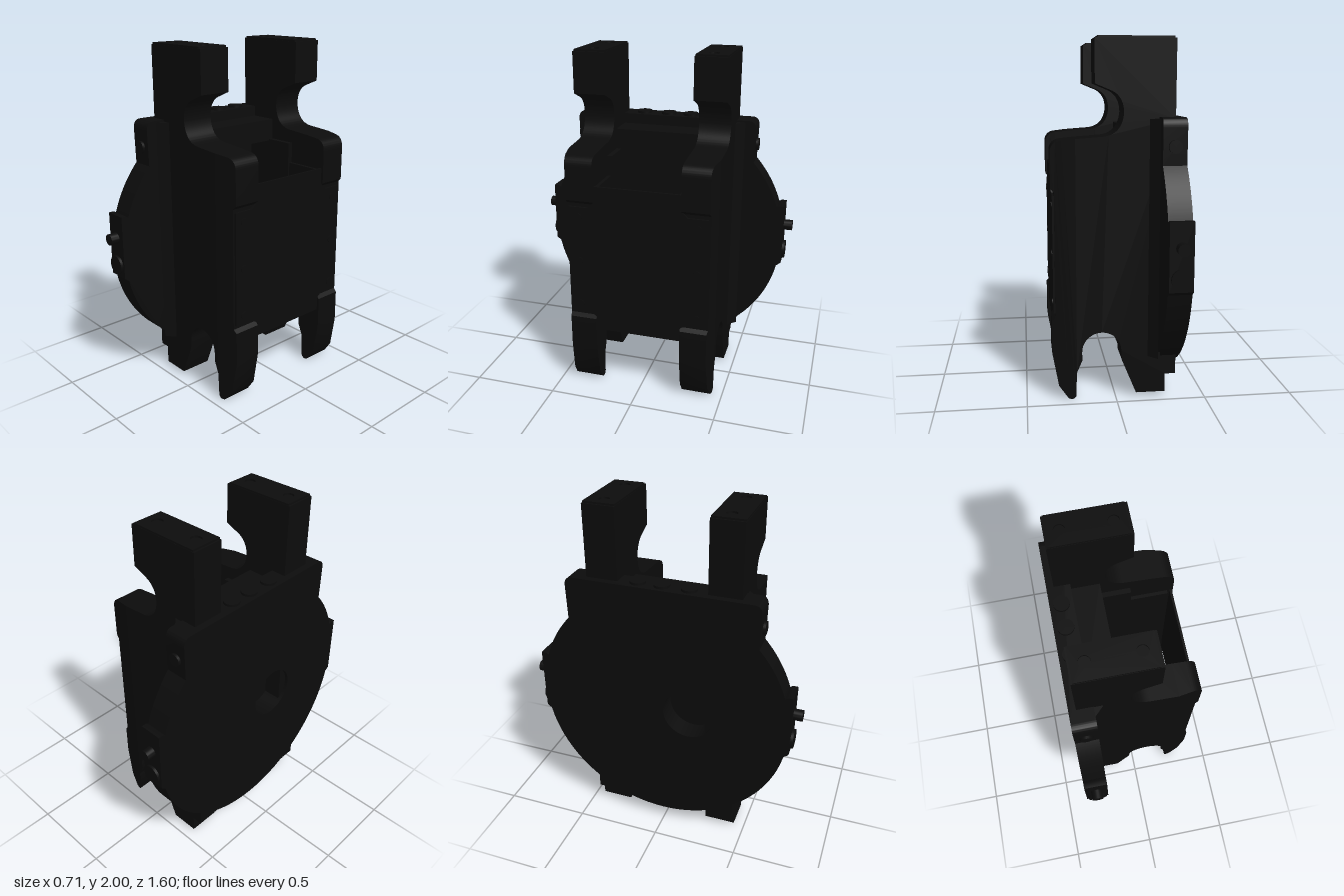
import * as THREE from 'three';
import { toCreasedNormals } from 'three/addons/utils/BufferGeometryUtils.js';

const material = new THREE.MeshStandardMaterial({ color: 0x0c0c0c });

function add(parent, name, geometry) {
  const mesh = new THREE.Mesh(toCreasedNormals(geometry, 0.6), material);
  mesh.name = name;
  parent.add(mesh);
  return mesh;
}

function extrude(shape, depth) {
  return new THREE.ExtrudeGeometry(shape, { depth, bevelEnabled: false, curveSegments: 20 });
}

// Shape drawn as (z, y), filling x0..x1
function slabX(shape, x0, x1) {
  return extrude(shape, x1 - x0).rotateY(-Math.PI / 2).translate(x1, 0, 0);
}

// Shape drawn as (x, z), filling y0..y1
function slabY(shape, y0, y1) {
  return extrude(shape, y1 - y0).rotateX(Math.PI / 2).translate(0, y1, 0);
}

function box(x0, x1, y0, y1, z0, z1) {
  return new THREE.BoxGeometry(x1 - x0, y1 - y0, z1 - z0)
    .translate((x0 + x1) / 2, (y0 + y1) / 2, (z0 + z1) / 2);
}

const polygon = (points) => new THREE.Shape(points.map(([a, b]) => new THREE.Vector2(a, b)));

function circleHole(x, y, r) {
  return new THREE.Path().absarc(x, y, r, 0, Math.PI * 2, true);
}

function roundedHole(x0, x1, y0, y1, r) {
  const p = new THREE.Path();
  p.absarc(x1 - r, y1 - r, r, 0, Math.PI / 2);
  p.absarc(x0 + r, y1 - r, r, Math.PI / 2, Math.PI);
  p.absarc(x0 + r, y0 + r, r, Math.PI, Math.PI * 1.5);
  p.absarc(x1 - r, y0 + r, r, Math.PI * 1.5, Math.PI * 2);
  p.closePath();
  return p;
}

// Round plate with a squared top, side lugs and an off-centre bore
function plateShape() {
  const cy = 0.835, R = 0.74, s = new THREE.Shape();
  const angle = (y) => Math.asin((y - cy) / R);
  const low = angle(0.68), mid = angle(1.06), high = angle(1.33);
  s.absarc(0, cy, R, Math.PI - low, Math.PI * 2 + low, false);
  s.lineTo(0.75, 0.7);
  s.lineTo(0.75, 1.07);
  s.lineTo(0.72, 1.07);
  s.absarc(0, cy, R, mid, high, false);
  s.lineTo(0.555, 1.53);
  s.quadraticCurveTo(0.555, 1.58, 0.51, 1.58);
  s.lineTo(-0.51, 1.58);
  s.quadraticCurveTo(-0.555, 1.58, -0.555, 1.53);
  s.absarc(0, cy, R, Math.PI - high, Math.PI - mid, false);
  s.lineTo(-0.72, 1.07);
  s.lineTo(-0.75, 1.07);
  s.lineTo(-0.75, 0.7);
  s.holes.push(circleHole(0.16, 0.83, 0.15));
  return s;
}

// Cheek profile: tall arm, side hook and arched foot
function cheekRearShape() {
  const s = new THREE.Shape();
  s.moveTo(-0.32, 1.99);
  s.lineTo(0.115, 1.99);
  s.lineTo(0.115, 1.755);
  s.lineTo(0.03, 1.72);
  s.quadraticCurveTo(-0.04, 1.69, -0.04, 1.6);
  s.quadraticCurveTo(-0.03, 1.49, 0.07, 1.477);
  s.lineTo(0.22, 1.466);
  s.lineTo(0.22, 0.16);
  s.lineTo(0.19, 0.23);
  s.absarc(0.08, 0.28, 0.11, 0, Math.PI, false);
  s.lineTo(-0.035, 0.22);
  s.lineTo(-0.115, 0.025);
  s.lineTo(-0.28, 0.025);
  s.lineTo(-0.28, 0.13);
  s.lineTo(-0.34, 0.13);
  s.lineTo(-0.34, 1.57);
  s.lineTo(-0.32, 1.57);
  return s;
}

function cheekFrontShape() {
  const s = new THREE.Shape();
  s.moveTo(0.22, 1.466);
  s.lineTo(0.295, 1.458);
  s.quadraticCurveTo(0.355, 1.45, 0.355, 1.39);
  s.lineTo(0.355, 1.2);
  s.lineTo(0.335, 1.18);
  s.lineTo(0.335, 0.48);
  s.lineTo(0.355, 0.46);
  s.lineTo(0.355, 0.27);
  s.lineTo(0.32, 0.08);
  s.lineTo(0.268, 0.008);
  s.quadraticCurveTo(0.24, -0.008, 0.225, 0.02);
  s.lineTo(0.22, 0.16);
  return s;
}

// Everything on the +z side; mirrored for the other side
function buildSide() {
  const side = new THREE.Group();
  add(side, 'cheek', extrude(cheekRearShape(), 0.185).translate(0, 0, 0.255));

  // Front of the cheek narrows towards +x
  const front = extrude(cheekFrontShape(), 0.185).translate(0, 0, 0.255);
  const p = front.attributes.position;
  for (let i = 0; i < p.count; i++) {
    if (p.getZ(i) > 0.4) p.setZ(i, 0.44 - (p.getX(i) - 0.22) * 0.185);
  }
  front.computeVertexNormals();
  add(side, 'cheekFront', front);

  // Sloped fillet where the cheek meets the plate
  add(side, 'cheekFillet', slabY(polygon([[-0.24, 0.4], [-0.18, 0.4], [-0.18, 0.44], [-0.23, 0.49], [-0.24, 0.49]]), 0.24, 1.57));

  // Arm cap with two screw holes
  const cap = polygon([[-0.31, 0.257], [0.1, 0.257], [0.1, 0.438], [-0.31, 0.438]]);
  for (const x of [-0.24, 0.03]) cap.holes.push(circleHole(x, 0.345, 0.03));
  add(side, 'armCap', slabY(cap, 1.99, 2));

  // Stepped rail on the inside of the cheek
  add(side, 'innerRail', box(-0.23, 0.1, 0.42, 1.4, 0.225, 0.26));
  add(side, 'innerStep', box(0.1, 0.32, 0.42, 1.28, 0.235, 0.26));

  // Pin and bosses on the rim: [name, y, radius, end z, start z]
  for (const [name, y, r, z1, z0] of [
    ['sidePin', 0.933, 0.032, 0.8, 0.7],
    ['sideBoss', 0.77, 0.055, 0.765, 0.7],
    ['upperBoss', 1.43, 0.036, 0.568, 0.5],
  ]) {
    add(side, name, new THREE.CylinderGeometry(r, r, z1 - z0, 24)
      .rotateX(Math.PI / 2).translate(-0.295, y, (z0 + z1) / 2));
  }
  return side;
}

export function createModel() {
  const model = new THREE.Group();
  model.name = 'mountingBracket';

  add(model, 'roundPlate', slabX(plateShape(), -0.36, -0.23));
  add(model, 'boreFloor', new THREE.CylinderGeometry(0.17, 0.17, 0.02, 32)
    .rotateZ(Math.PI / 2).translate(-0.225, 0.83, 0.16));

  for (const z of [0.145, -0.01, -0.147]) {
    add(model, 'topBoss', new THREE.CylinderGeometry(0.045, 0.045, 0.04, 24).translate(-0.295, 1.573, z));
  }

  for (const s of [1, -1]) {
    const side = buildSide();
    side.name = s > 0 ? 'frontSide' : 'backSide';
    side.scale.z = s;
    model.add(side);
  }

  // Bars joining the cheeks next to the plate
  add(model, 'upperCrossbar', box(-0.235, -0.07, 1.39, 1.52, -0.26, 0.26));
  add(model, 'lowerCrossbar', box(-0.235, -0.16, 0.3, 0.45, -0.26, 0.26));

  // Floor with windows and a notched front edge
  const floor = polygon([
    [-0.235, -0.26], [0.32, -0.26], [0.32, -0.135], [0.285, -0.135], [0.285, -0.04], [0.32, -0.04],
    [0.32, 0.04], [0.285, 0.04], [0.285, 0.13], [0.32, 0.13], [0.32, 0.26], [-0.235, 0.26],
  ]);
  floor.holes.push(roundedHole(-0.07, 0.025, -0.14, 0.135, 0.02));
  for (const z of [-0.088, 0.083]) floor.holes.push(roundedHole(0.09, 0.22, z - 0.045, z + 0.045, 0.025));
  add(model, 'floor', slabY(floor, 0.4, 0.45));
  add(model, 'floorLip', box(0.23, 0.285, 0.355, 0.41, -0.26, 0.26));

  // Thin screwed cover across the cheeks
  const half = [[0.25, 0.39], [0.25, 0.47], [0.29, 0.5], [0.408, 0.5], [0.408, 1.16], [0.29, 1.16], [0.25, 1.2], [0.25, 1.29]];
  const mirrored = half.map(([z, y]) => [-z, y]).reverse();
  add(model, 'cover', slabX(polygon([...half, ...mirrored]), 0.333, 0.346));
  for (const z of [-0.35, 0.35]) {
    for (const y of [0.55, 0.83, 1.1]) {
      add(model, 'coverScrew', new THREE.CylinderGeometry(0.022, 0.022, 0.01, 16)
        .rotateZ(Math.PI / 2).translate(0.345, y, z));
    }
  }
  return model;
}
